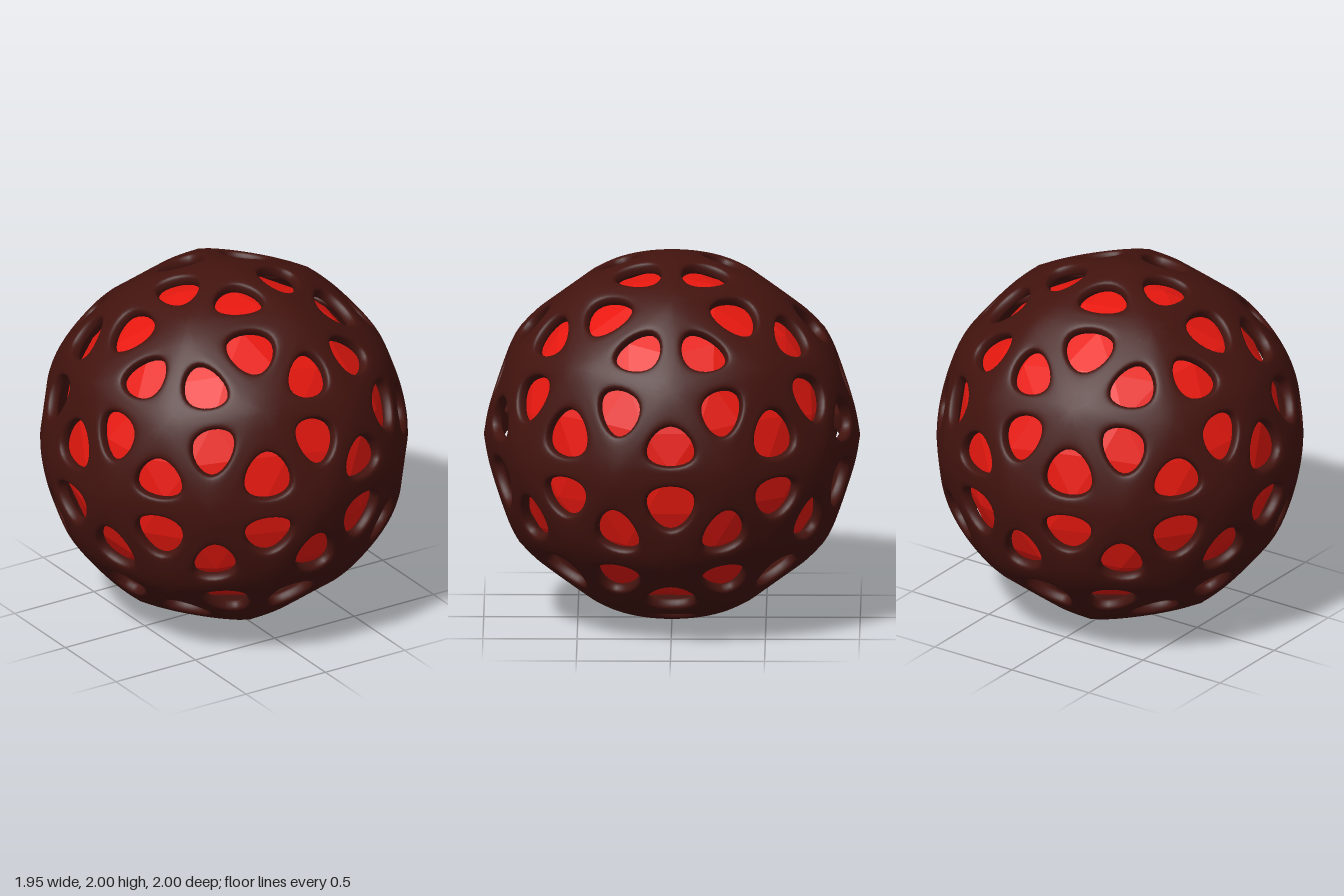
import * as THREE from 'three';

// Icosahedron standing on a vertex
function icosahedron() {
  const verts = [0, 1, 0];
  const h = 1 / Math.sqrt(5), r = 2 / Math.sqrt(5);
  for (const s of [1, -1]) {
    for (let k = 0; k < 5; k++) {
      const a = (k * 72 + (s > 0 ? 0 : 36)) * Math.PI / 180;
      verts.push(r * Math.cos(a), s * h, -r * Math.sin(a));
    }
  }
  verts.push(0, -1, 0);
  const faces = [];
  for (let k = 0; k < 5; k++) {
    const n = (k + 1) % 5;
    faces.push([0, 1 + k, 1 + n], [1 + k, 6 + k, 1 + n], [1 + n, 6 + k, 6 + n], [11, 6 + n, 6 + k]);
  }
  const points = [];
  for (let i = 0; i < verts.length; i += 3) points.push(new THREE.Vector3(...verts.slice(i, i + 3)));
  return { points, faces };
}

// Split every triangle in four and push the new points onto the unit sphere
function splitSphere({ points, faces }) {
  const pts = points.slice(), out = [], mids = new Map();
  const mid = (a, b) => {
    const key = Math.min(a, b) + '_' + Math.max(a, b);
    if (!mids.has(key)) mids.set(key, pts.push(pts[a].clone().add(pts[b]).normalize()) - 1);
    return mids.get(key);
  };
  for (const [a, b, c] of faces) {
    const ab = mid(a, b), bc = mid(b, c), ca = mid(c, a);
    out.push([a, ab, ca], [ab, b, bc], [ca, bc, c], [ab, bc, ca]);
  }
  return { points: pts, faces: out };
}

// Thick quad cage with one triangular opening per face
function perforatedCage({ points, faces }, inset, thickness) {
  const n = points.length, k = 1 - thickness;
  const pts = [...points.map(p => p.clone()), ...points.map(p => p.clone().multiplyScalar(k))];
  const quads = [];
  for (const f of faces) {
    const centre = new THREE.Vector3();
    f.forEach(i => centre.addScaledVector(points[i], 1 / 3));
    const rim = f.map(i => pts.push(centre.clone().lerp(points[i], inset)) - 1);
    const low = rim.map(i => pts.push(pts[i].clone().multiplyScalar(k)) - 1);
    for (let i = 0; i < 3; i++) {
      const j = (i + 1) % 3;
      quads.push([f[i], f[j], rim[j], rim[i]]);                    // outside
      quads.push([f[j] + n, f[i] + n, low[i], low[j]]);            // inside
      quads.push([rim[i], rim[j], low[j], low[i]]);                // opening wall
    }
  }
  return { points: pts, quads };
}

// One step of Catmull-Clark smoothing on a closed quad mesh
function smooth({ points, quads }) {
  const n = points.length, pts = points.map(() => new THREE.Vector3());
  const valence = new Array(n).fill(0);
  const faceSum = points.map(() => new THREE.Vector3());
  const edgeSum = points.map(() => new THREE.Vector3());
  const edges = new Map();
  const key = (a, b) => Math.min(a, b) * 1e6 + Math.max(a, b);
  const faceIds = quads.map(q => {
    const c = new THREE.Vector3();
    q.forEach(i => c.addScaledVector(points[i], 0.25));
    const id = pts.push(c) - 1;
    q.forEach((a, i) => {
      const b = q[(i + 1) % 4], e = key(a, b);
      faceSum[a].add(c);
      valence[a]++;
      if (!edges.has(e)) edges.set(e, { a, b, sum: new THREE.Vector3() });
      edges.get(e).sum.add(c);
    });
    return id;
  });
  for (const e of edges.values()) {
    const ends = points[e.a].clone().add(points[e.b]);
    edgeSum[e.a].addScaledVector(ends, 0.5);
    edgeSum[e.b].addScaledVector(ends, 0.5);
    e.id = pts.push(ends.add(e.sum).multiplyScalar(0.25)) - 1;
  }
  for (let i = 0; i < n; i++) {
    const v = valence[i];
    pts[i].copy(points[i]).multiplyScalar((v - 3) / v)
      .addScaledVector(faceSum[i], 1 / (v * v))
      .addScaledVector(edgeSum[i], 2 / (v * v));
  }
  const out = [];
  quads.forEach((q, f) => q.forEach((a, i) => {
    const next = edges.get(key(a, q[(i + 1) % 4])).id;
    const prev = edges.get(key(a, q[(i + 3) % 4])).id;
    out.push([a, next, faceIds[f], prev]);
  }));
  return { points: pts, quads: out };
}

export function createModel() {
  const group = new THREE.Group();
  const sphere = splitSphere(icosahedron());

  // Perforated outer shell
  let cage = perforatedCage(sphere, 0.74, 0.07);
  for (let i = 0; i < 3; i++) cage = smooth(cage);
  const shellGeo = new THREE.BufferGeometry().setFromPoints(cage.points);
  shellGeo.setIndex(cage.quads.flatMap(([a, b, c, d]) => [a, b, c, a, c, d]));
  shellGeo.computeBoundingBox();
  const s = 1 / shellGeo.boundingBox.max.y;
  shellGeo.scale(s, s, s);
  shellGeo.computeVertexNormals();
  const shell = new THREE.Mesh(shellGeo, new THREE.MeshStandardMaterial({ color: 0x42130e }));
  shell.name = 'perforatedShell';

  // Faceted inner ball
  const coreGeo = new THREE.PolyhedronGeometry(
    sphere.points.flatMap(p => p.toArray()), sphere.faces.flat(), 0.865, 1);
  const core = new THREE.Mesh(coreGeo, new THREE.MeshStandardMaterial({ color: 0xe8180f, flatShading: true }));
  core.name = 'innerBall';

  group.add(shell, core);
  group.position.y = 1;
  const model = new THREE.Group();
  model.name = 'perforatedBall';
  model.add(group);
  return model;
}
